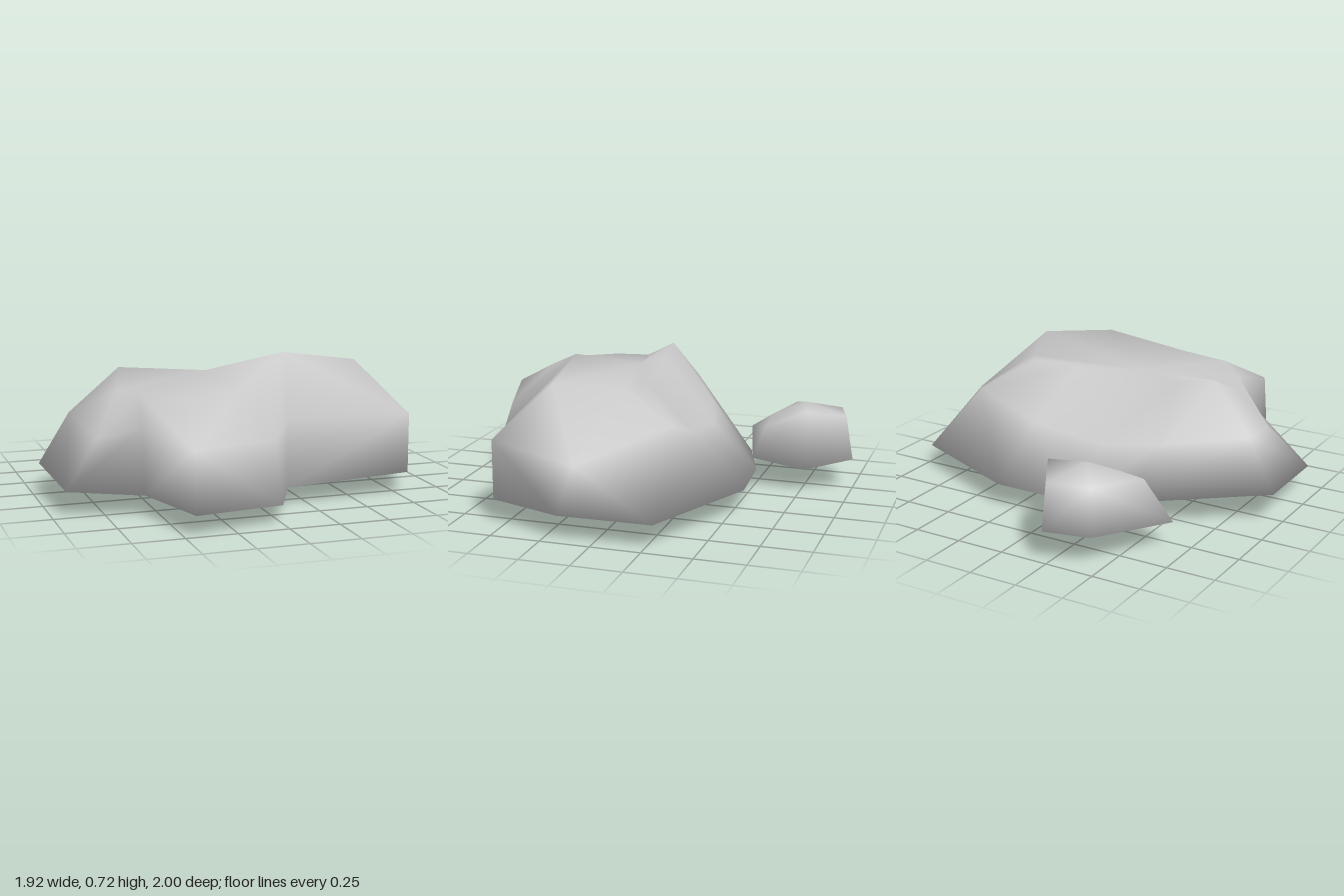
import * as THREE from 'three';

// Smooth closed boulder: rings of points from base to top, capped by a low and a high point.
function boulder(name, rings, low, high, material) {
  const n = rings[0].length;
  const points = [...rings.flat(), low, high].map((p) => new THREE.Vector3(...p));
  const index = [];
  const bottom = rings.length * n;
  const top = bottom + 1;
  const plane = new THREE.Plane();
  for (let i = 0; i < n; i++) {
    const k = (i + 1) % n;
    index.push(k, i, bottom);
    for (let r = 0; r < rings.length - 1; r++) {
      const a = r * n + i, b = r * n + k, c = b + n, d = a + n;
      // Fold each four-sided patch along the diagonal that bulges outward
      plane.setFromCoplanarPoints(points[a], points[b], points[c]);
      if (plane.distanceToPoint(points[d]) <= 0) index.push(a, b, c, a, c, d);
      else index.push(a, b, d, b, c, d);
    }
    const last = (rings.length - 1) * n;
    index.push(last + i, last + k, top);
  }
  const geometry = new THREE.BufferGeometry().setFromPoints(points);
  geometry.setIndex(index);
  geometry.computeVertexNormals();
  const mesh = new THREE.Mesh(geometry, material);
  mesh.name = name;
  return mesh;
}

export function createModel() {
  const stone = new THREE.MeshStandardMaterial({ color: 0xc8c8c8 });
  stone.name = 'grey stone';

  // Large boulder: outline near the ground, shoulder, and crown, from its right side round the front
  const base = [
    [-0.96, 0.15, -0.04], [-0.93, 0.12, 0.47], [-0.57, 0.1, 0.58], [-0.45, 0.1, 1.0],
    [0, 0.09, 0.91], [0.14, 0.09, 0.61], [0.8, 0.11, 0.57], [0.96, 0.12, 0.18],
    [0.95, 0.12, -0.29], [0.32, 0.12, -0.56], [-0.1, 0.1, -0.52], [-0.36, 0.12, -0.43],
  ];
  const shoulder = [
    [-0.81, 0.41, 0.0], [-0.75, 0.34, 0.35], [-0.56, 0.41, 0.5], [-0.45, 0.39, 0.95],
    [0, 0.38, 0.81], [0.18, 0.4, 0.5], [0.8, 0.41, 0.57], [0.9, 0.35, 0.12],
    [0.61, 0.5, -0.28], [0.28, 0.38, -0.29], [-0.12, 0.33, -0.28], [-0.42, 0.36, -0.2],
  ];
  const crown = [
    [-0.57, 0.64, 0.08], [-0.62, 0.55, 0.24], [-0.55, 0.56, 0.4], [-0.37, 0.57, 0.6],
    [-0.12, 0.58, 0.62], [0.2, 0.72, 0.36], [0.6, 0.66, 0.33], [0.47, 0.63, 0.01],
    [0.43, 0.62, -0.03], [0.2, 0.61, 0.0], [-0.14, 0.57, 0.03], [-0.36, 0.6, 0.06],
  ];

  // Small boulder leaning behind the large one
  const smallBase = [
    [-0.67, 0.13, -0.54], [-0.36, 0.26, -0.43], [-0.1, 0.16, -0.5],
    [-0.1, 0.12, -0.77], [-0.23, 0.16, -1.0], [-0.45, 0.15, -0.93],
  ];
  const smallCrown = [
    [-0.56, 0.36, -0.63], [-0.36, 0.34, -0.55], [-0.12, 0.33, -0.56],
    [-0.12, 0.42, -0.77], [-0.23, 0.39, -0.96], [-0.44, 0.38, -0.9],
  ];

  const model = new THREE.Group();
  model.name = 'rocks';
  model.add(
    boulder('largeBoulder', [base, shoulder, crown], [0.2, 0, 0.14], [-0.13, 0.61, 0.13], stone),
    boulder('smallBoulder', [smallBase, smallCrown], [-0.38, 0.08, -0.68], [-0.31, 0.43, -0.73], stone),
  );
  return model;
}
